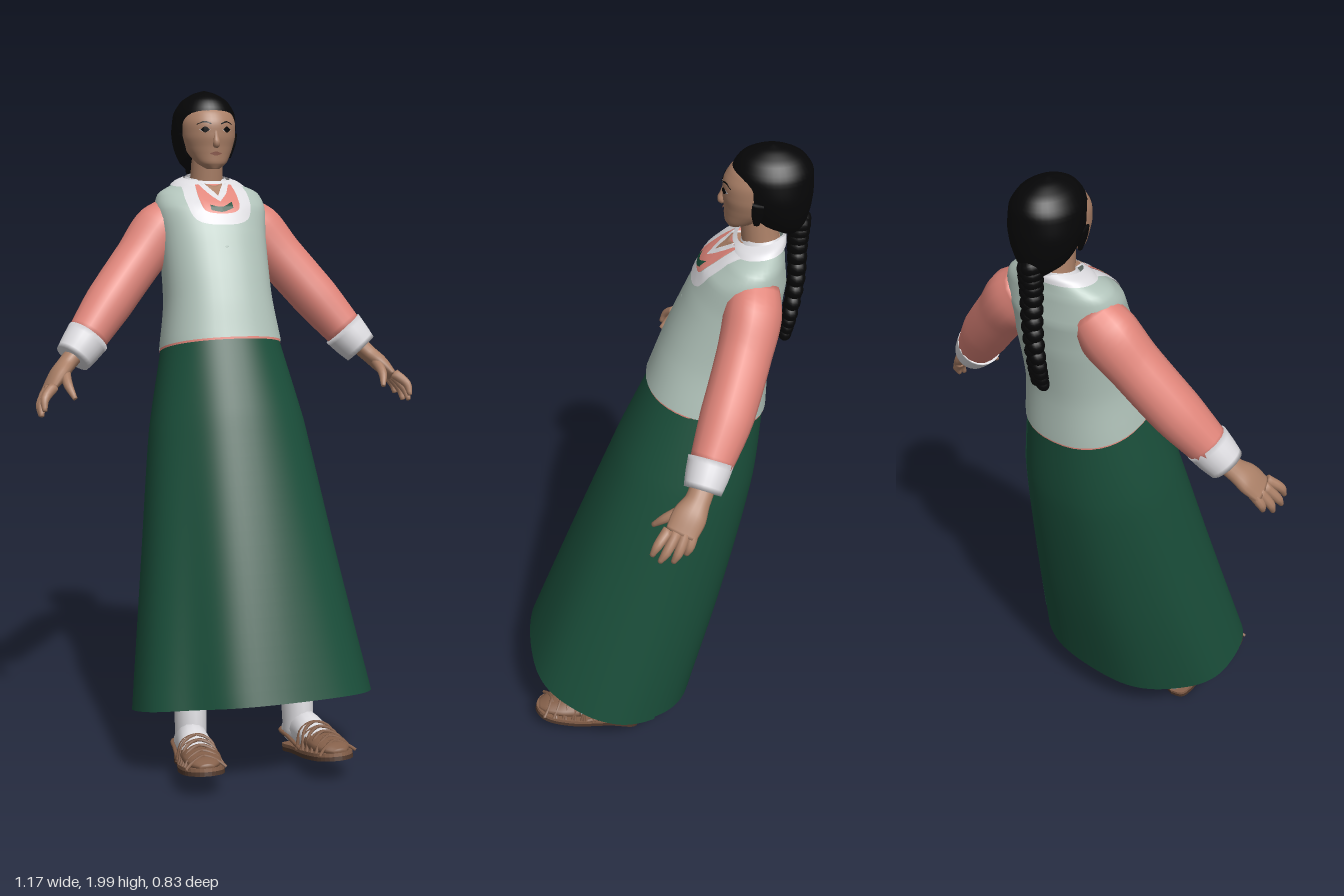
import * as THREE from 'three';

const V = (x, y, z) => new THREE.Vector3(x, y, z);
const mat = (name, color) => new THREE.MeshStandardMaterial({ name, color, side: THREE.DoubleSide });

// Skin a grid of points; wrap joins the last column to the first, caps close the ends
function skin(rings, wrap = true, caps = false) {
  const n = rings[0].length, pts = rings.flat(), idx = [];
  for (let r = 0; r < rings.length - 1; r++)
    for (let i = 0; i < (wrap ? n : n - 1); i++) {
      const j = (i + 1) % n, a = r * n + i, b = r * n + j;
      idx.push(a, b, a + n, b, b + n, a + n);
    }
  if (caps) {
    const last = (rings.length - 1) * n;
    const mid = ring => ring.reduce((s, p) => s.add(p), V(0, 0, 0)).divideScalar(n);
    pts.push(mid(rings[0]), mid(rings.at(-1)));
    for (let i = 0; i < n; i++) {
      const j = (i + 1) % n;
      idx.push(pts.length - 2, j, i, pts.length - 1, last + i, last + j);
    }
  }
  const g = new THREE.BufferGeometry().setFromPoints(pts);
  g.setIndex(idx);
  g.computeVertexNormals();
  return g;
}

// Limb along a path of [x, y, z, radiusA, radiusB]; radiusA lies across ref
function limb(path, { ref = V(0, 0, 1), steps = 20, seg = 16 } = {}) {
  const centre = new THREE.CatmullRomCurve3(path.map(p => V(p[0], p[1], p[2])));
  const radii = new THREE.CatmullRomCurve3(path.map(p => V(p[3], p[4] ?? p[3], 0)));
  const rings = [];
  for (let k = 0; k <= steps; k++) {
    const t = k / steps, c = centre.getPoint(t), r = radii.getPoint(t), T = centre.getTangent(t);
    const U = ref.clone().cross(T).normalize(), W = T.clone().cross(U);
    rings.push(Array.from({ length: seg }, (_, i) => {
      const a = i / seg * Math.PI * 2;
      return c.clone().addScaledVector(U, r.x * Math.cos(a)).addScaledVector(W, r.y * Math.sin(a));
    }));
  }
  return skin(rings, true, true);
}

// Upright body from sections [y, zCentre, radiusX, radiusZ, slope]; slope raises the front of a ring
function body(sections, { seg = 40, steps = 30, power = 1, caps = false, wrap = true, ripple } = {}) {
  const centre = new THREE.CatmullRomCurve3(sections.map(s => V(0, s[0], s[1])));
  const radii = new THREE.CatmullRomCurve3(sections.map(s => V(s[2], s[3], s[4] ?? 0)));
  const pow = v => Math.sign(v) * Math.abs(v) ** power;
  const rings = [];
  for (let k = 0; k <= steps; k++) {
    const t = k / steps, c = centre.getPoint(t), r = radii.getPoint(t);
    rings.push(Array.from({ length: seg }, (_, i) => {
      const u = wrap ? i / seg : i / (seg - 1);
      const { a, f } = ripple ? ripple(u, t) : { a: u * Math.PI * 2, f: 1 };
      const z = -r.y * f * pow(Math.sin(a));
      return V(r.x * f * pow(Math.cos(a)), c.y + z * r.z, c.z + z);
    }));
  }
  return skin(rings, wrap, caps);
}

// Thin strip between two xy lines, laid on the front of a target mesh
function drape(target, lineA, lineB, lift = 0.004, n = 24) {
  const ray = new THREE.Raycaster();
  const curve = l => new THREE.CatmullRomCurve3(l.map(p => V(p[0], p[1], 0)));
  const A = curve(lineA), B = curve(lineB), rows = [];
  let z = -0.22;
  for (let r = 0; r <= 5; r++)
    rows.push(Array.from({ length: n + 1 }, (_, i) => {
      const p = A.getPoint(i / n).lerp(B.getPoint(i / n), r / 5);
      ray.set(V(p.x, p.y, 1), V(0, 0, -1));
      z = ray.intersectObject(target)[0]?.point.z ?? z;
      return V(p.x, p.y, z + lift);
    }));
  return skin(rows, false);
}

const lens = (x, y, w, h) => [
  [[x - w, y], [x, y - h], [x + w, y]],
  [[x - w, y], [x, y + h], [x + w, y]],
];

export function createModel() {
  const model = new THREE.Group();
  const green = mat('skirt green', 0x1a4e3a), sage = mat('vest sage', 0xb1c3ba), coral = mat('coral', 0xe0857a);
  const white = mat('white cloth', 0xdddce0), flesh = mat('skin', 0xab8067), black = mat('hair black', 0x060607);
  const straw = mat('sandal brown', 0x85604a), dark = mat('sole brown', 0x4f382c), lip = mat('lip', 0x8c5a4c);
  const add = (name, geometry, material, parent = model) => {
    const m = new THREE.Mesh(geometry, material);
    m.name = name;
    parent.add(m);
    return m;
  };
  const ball = (name, material, p, s) => {
    const m = add(name, new THREE.SphereGeometry(1, 16, 12), material);
    m.position.set(...p);
    m.scale.set(...s);
    return m;
  };

  // Wrapped skirt: spirals slightly so its free edge overlaps; hem fuller at left, drawn in at front right
  add('skirt', body([
    [0.21, 0.15, 0.355, 0.262, 0.26], [0.6, 0.03, 0.292, 0.238, 0.26],
    [1.0, -0.085, 0.231, 0.202, 0.26], [1.25, -0.147, 0.174, 0.16, 0.26],
  ], {
    seg: 110, power: 0.92, wrap: false,
    ripple: (u, t) => {
      const a = 0.42 + u * (Math.PI * 2 + 0.12), low = 1 - t;
      const tuck = 0.125 * Math.exp(-(((a - 3.9) / 0.38) ** 2));
      return { a, f: 1 + 0.02 * u + low * (0.01 * Math.sin(a * 7 + 1) + 0.03 * Math.cos(a - 0.35) - tuck) };
    },
  }), green);

  // Vest with the blouse hem peeping out below
  const vest = add('vest', body([
    [1.235, -0.14, 0.183, 0.173, 0.25], [1.38, -0.167, 0.163, 0.15, 0.25], [1.54, -0.213, 0.163, 0.13, 0.25],
    [1.63, -0.24, 0.171, 0.113, 0.22], [1.69, -0.262, 0.157, 0.083, 0.08], [1.73, -0.275, 0.08, 0.064, -0.15],
  ], { power: 0.88 }), sage);
  add('blouseHem', body([[1.229, -0.14, 0.181, 0.171, 0.25], [1.245, -0.142, 0.179, 0.169, 0.25]],
    { power: 0.88, steps: 2 }), coral);
  for (const [y, z] of [[1.535, -0.074], [1.45, -0.038]])
    ball('vestKnot', sage, [0, y, z], [0.014, 0.006, 0.008]);

  // Neckline: white yoke round the neck, inner blouse, U trim, crossed collar and ribbon
  add('necklineYoke', body([
    [1.716, -0.271, 0.114, 0.077, -0.1], [1.728, -0.274, 0.098, 0.072, -0.13], [1.738, -0.277, 0.072, 0.062, -0.15],
  ], { steps: 8, power: 0.88 }), white);
  const inner = [[-0.056, 1.722], [-0.061, 1.68], [-0.052, 1.643], [0, 1.633], [0.052, 1.643], [0.061, 1.68], [0.056, 1.722]];
  const outer = [[-0.095, 1.722], [-0.1, 1.67], [-0.08, 1.615], [0, 1.6], [0.08, 1.615], [0.1, 1.67], [0.095, 1.722]];
  add('necklineTrim', drape(vest, outer, inner, 0.006), white);
  add('blouseFront', drape(vest, inner, inner.map(p => [p[0] * 0.8, 1.72]), 0.008), coral);
  add('throat', drape(vest, [[-0.03, 1.722], [0, 1.687], [0.03, 1.722]], [[-0.03, 1.722], [0, 1.722], [0.03, 1.722]], 0.009), flesh);
  for (const s of [-1, 1])
    add('collarFlap', drape(vest, [[s * 0.048, 1.72], [s * 0.026, 1.69], [0, 1.668]],
      [[s * 0.03, 1.722], [s * 0.014, 1.703], [0, 1.685]], 0.01), white);
  add('collarBand', body([[1.715, -0.282, 0.078, 0.064, -0.15], [1.742, -0.288, 0.06, 0.056, -0.2]], { steps: 4 }), white);
  add('ribbon', drape(vest, [[-0.035, 1.643], [0, 1.638], [0.035, 1.649]], [[-0.035, 1.659], [0, 1.653], [0.035, 1.667]], 0.011), green);

  // Neck and head
  add('neck', limb([[0, 1.67, -0.285, 0.055], [0, 1.74, -0.275, 0.05], [0, 1.82, -0.265, 0.047]]), flesh);
  const head = add('head', body([
    [1.764, -0.207, 0.018, 0.018], [1.782, -0.222, 0.045, 0.043], [1.82, -0.25, 0.069, 0.074],
    [1.86, -0.257, 0.081, 0.086], [1.9, -0.262, 0.083, 0.089], [1.93, -0.276, 0.078, 0.088], [1.957, -0.29, 0.06, 0.073],
  ], { caps: true }), flesh);
  add('nose', limb([[0, 1.88, -0.178, 0.006], [0, 1.858, -0.173, 0.008], [0, 1.84, -0.169, 0.011], [0, 1.832, -0.176, 0.009]],
    { steps: 10, seg: 10 }), flesh);
  add('lips', drape(head, ...lens(0, 1.81, 0.02, 0.006), 0.003), lip);
  for (const s of [-1, 1]) {
    add('eyeWhite', drape(head, ...lens(s * 0.034, 1.88, 0.016, 0.006), 0.003), white);
    add('iris', drape(head, ...lens(s * 0.034, 1.881, 0.013, 0.009), 0.005), black);
    add('eyebrow', drape(head, [[s * 0.015, 1.896], [s * 0.035, 1.902], [s * 0.056, 1.895]],
      [[s * 0.015, 1.9], [s * 0.035, 1.906], [s * 0.056, 1.897]], 0.003), black);
  }

  // Hair swept back into a braid
  add('hair', body([
    [1.752, -0.352, 0.03, 0.03], [1.785, -0.332, 0.068, 0.066], [1.83, -0.318, 0.09, 0.09], [1.88, -0.308, 0.098, 0.104],
    [1.93, -0.302, 0.093, 0.107], [1.97, -0.3, 0.068, 0.085], [1.992, -0.3, 0.032, 0.042], [2, -0.3, 0.004, 0.004],
  ], { caps: true }), black);
  for (const s of [-1, 1])
    add('sideLock', limb([[s * 0.088, 1.87, -0.268, 0.006, 0.02], [s * 0.081, 1.84, -0.264, 0.007, 0.018], [s * 0.069, 1.8, -0.262, 0.005, 0.008]],
      { steps: 8, seg: 10 }), black);
  const braidPath = new THREE.CatmullRomCurve3([V(0, 1.78, -0.38), V(0, 1.71, -0.378), V(0, 1.6, -0.38), V(0, 1.48, -0.368), V(0, 1.415, -0.356)]);
  for (let i = 0; i <= 26; i++) {
    const p = braidPath.getPoint(i / 26), w = 1 - 0.4 * i / 26, s = i % 2 ? 1 : -1;
    ball('braidStrand', black, [p.x + s * 0.006, p.y, p.z], [0.031 * w, 0.026, 0.032 * w]).rotation.z = s * 0.5;
  }

  // Arms and legs, built for the left and mirrored for the right
  for (const side of [1, -1]) {
    const half = new THREE.Group();
    half.name = side > 0 ? 'leftLimbs' : 'rightLimbs';
    half.scale.x = side;
    model.add(half);

    add('sleeve', limb([
      [0.105, 1.63, -0.262, 0.065, 0.068], [0.16, 1.572, -0.258, 0.086, 0.079], [0.225, 1.497, -0.238, 0.076, 0.075],
      [0.33, 1.37, -0.195, 0.073, 0.073], [0.418, 1.26, -0.15, 0.06, 0.058],
    ]), coral, half);
    add('cuff', limb([[0.405, 1.274, -0.153, 0.067, 0.063], [0.432, 1.242, -0.142, 0.062, 0.059], [0.458, 1.212, -0.131, 0.055, 0.052]],
      { steps: 6, seg: 24 }), white, half);
    add('palm', limb([
      [0.44, 1.235, -0.138, 0.028, 0.034], [0.478, 1.198, -0.12, 0.026, 0.035],
      [0.51, 1.166, -0.098, 0.024, 0.047], [0.543, 1.128, -0.075, 0.014, 0.044],
    ]), flesh, half);
    const fingers = [
      [[0.535, 1.14, -0.043], [0.565, 1.11, -0.015], [0.569, 1.078, 0.001]],
      [[0.54, 1.135, -0.066], [0.57, 1.09, -0.038], [0.574, 1.06, -0.02]],
      [[0.54, 1.132, -0.09], [0.568, 1.087, -0.07], [0.57, 1.056, -0.056]],
      [[0.533, 1.135, -0.11], [0.556, 1.1, -0.1], [0.558, 1.074, -0.09]],
      [[0.49, 1.18, -0.09], [0.492, 1.145, -0.035], [0.48, 1.11, 0]],
    ];
    fingers.forEach((f, i) => add(i < 4 ? 'finger' : 'thumb',
      limb(f.map((p, k) => [...p, [0.016, 0.0135, 0.007][k]]), { ref: V(1, 0, 0), steps: 8, seg: 10 }), flesh, half));

    // Stockinged leg
    add('stocking', limb([
      [0.15, 0.6, -0.03, 0.058], [0.157, 0.4, 0.035, 0.053], [0.167, 0.22, 0.09, 0.047, 0.06], [0.17, 0.07, 0.11, 0.045, 0.058],
    ]), white, half);

    // Foot and woven sandal, toe raised
    const foot = new THREE.Group();
    foot.name = 'foot';
    foot.position.set(0.168, 0.008, 0.055);
    foot.rotation.set(-0.22, 0.1, 0, 'YXZ');
    half.add(foot);
    add('stockingFoot', limb([
      [0, 0.055, -0.002, 0.025, 0.025], [0, 0.062, 0.03, 0.042, 0.042], [0, 0.073, 0.1, 0.045, 0.055],
      [0, 0.055, 0.18, 0.05, 0.038], [0, 0.045, 0.24, 0.05, 0.024],
    ], { ref: V(0, 1, 0) }), white, foot);
    add('wovenToe', limb([
      [0, 0.045, 0.205, 0.054, 0.034], [0, 0.038, 0.26, 0.056, 0.027], [0, 0.03, 0.31, 0.043, 0.018], [0, 0.024, 0.336, 0.02, 0.008],
    ], { ref: V(0, 1, 0) }), straw, foot);
    const outline = new THREE.Shape(new THREE.SplineCurve([
      [0, 0], [0.04, 0.02], [0.046, 0.1], [0.064, 0.22], [0.052, 0.31], [0, 0.345],
      [-0.052, 0.31], [-0.062, 0.22], [-0.046, 0.1], [-0.04, 0.02], [0, 0],
    ].map(p => new THREE.Vector2(...p))).getPoints(50));
    const slab = (name, depth, y, material) => {
      const g = new THREE.ExtrudeGeometry(outline, { depth, bevelEnabled: false });
      add(name, g.rotateX(Math.PI / 2).translate(0, y + depth, 0), material, foot);
    };
    slab('sole', 0.012, 0, dark);
    slab('insole', 0.01, 0.012, straw);
    const strap = (pts, r = 0.005) => add('strap',
      new THREE.TubeGeometry(new THREE.CatmullRomCurve3(pts.map(p => V(...p))), 16, r, 6), straw, foot);
    for (let k = 0; k < 5; k++) {
      const z = 0.18 + k * 0.03, h = 0.096 - k * 0.011, w = 0.057;
      for (const s of [1, -1])
        strap([[-w, 0.02, z - s * 0.02], [-w * 0.7, h - 0.018, z - s * 0.012], [0, h, z], [w * 0.7, h - 0.018, z + s * 0.012], [w, 0.02, z + s * 0.02]]);
    }
    for (const s of [1, -1]) strap([[s * 0.055, 0.022, 0.18], [s * 0.05, 0.05, 0.09], [s * 0.042, 0.064, 0.02], [0, 0.066, -0.012]], 0.006);
  }
  return model;
}
